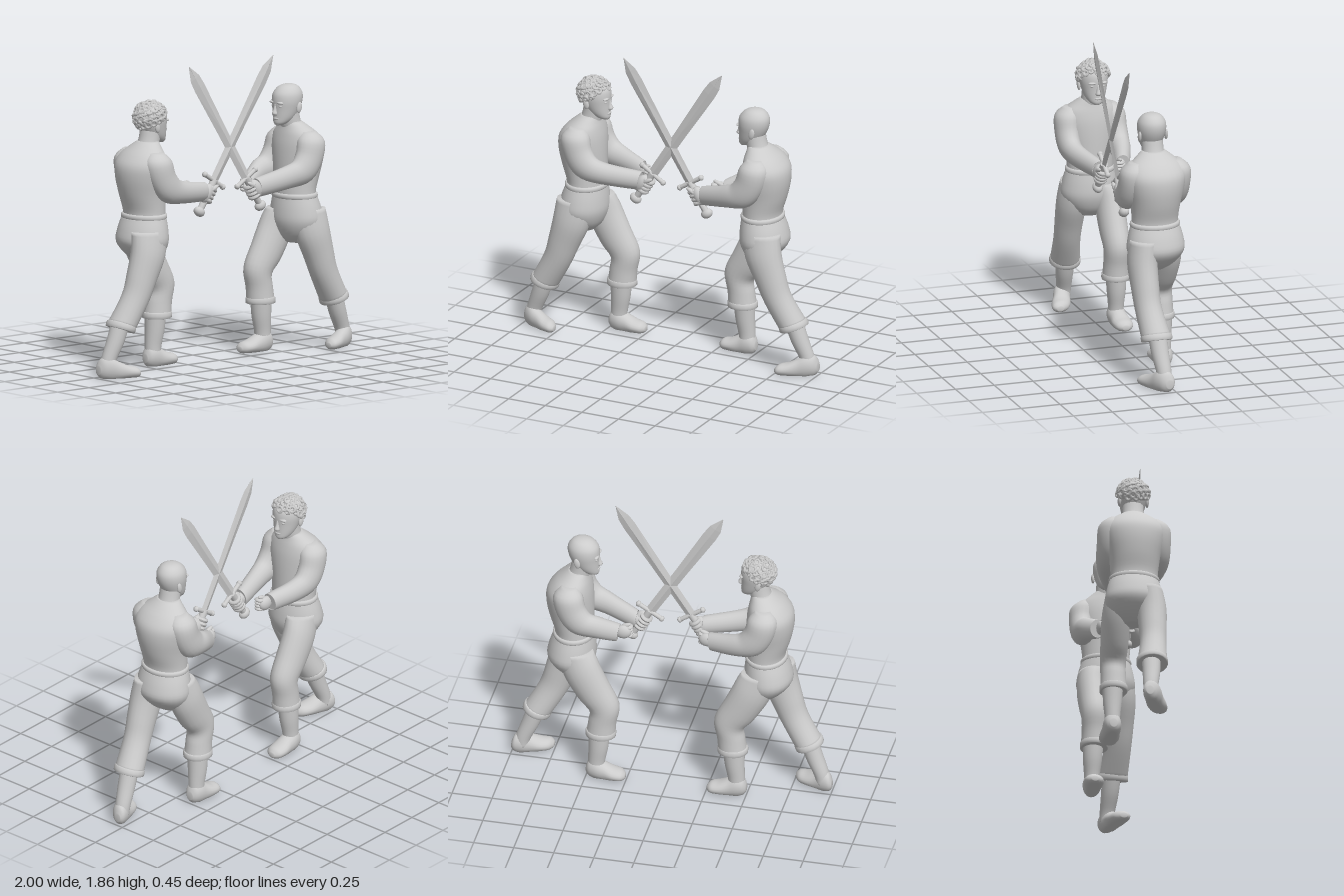
import * as THREE from 'three';

const material = new THREE.MeshStandardMaterial({ color: 0xcccccc });
const facetedMaterial = new THREE.MeshStandardMaterial({ color: 0xcccccc, flatShading: true });
const rad = THREE.MathUtils.degToRad;

// Closed skin over elliptic rings [x, y, z, radiusU, radiusZ, tilt of U in degrees]
function loft(rings, { seg = 20, sub = 4, floor = -1 } = {}) {
  const rows = [];
  const at = (i, k) => rings[Math.min(Math.max(i, 0), rings.length - 1)][k] ?? 0;
  for (let i = 0; i < rings.length - 1; i++) {
    for (let j = 0; j < sub; j++) {
      const t = j / sub;
      rows.push([0, 1, 2, 3, 4, 5].map((k) => {
        const [a, b, c, d] = [at(i - 1, k), at(i, k), at(i + 1, k), at(i + 2, k)];
        return b + 0.5 * t * (c - a + t * (2 * a - 5 * b + 4 * c - d + t * (3 * (b - c) + d - a)));
      }));
    }
  }
  rows.push([0, 1, 2, 3, 4, 5].map((k) => at(rings.length - 1, k)));
  const pos = [], index = [];
  for (const [x, y, z, ru, rz, tilt] of rows) {
    for (let j = 0; j < seg; j++) {
      const a = (j / seg) * Math.PI * 2, u = Math.cos(a) * ru;
      pos.push(x + u * Math.cos(rad(tilt)), Math.max(floor, y + u * Math.sin(rad(tilt))), z + Math.sin(a) * rz);
    }
  }
  const n = rows.length, start = n * seg, last = rows[n - 1];
  pos.push(rows[0][0], rows[0][1], rows[0][2], last[0], last[1], last[2]);
  for (let j = 0; j < seg; j++) {
    const k = (j + 1) % seg;
    for (let i = 0; i < n - 1; i++) {
      const a = i * seg + j, b = i * seg + k;
      index.push(a, a + seg, b, b, a + seg, b + seg);
    }
    index.push(start, j, k, start + 1, start - seg + k, start - seg + j);
  }
  // Turn the skin outwards if its signed volume is negative
  let volume = 0;
  const [p, q, r] = [0, 1, 2].map(() => new THREE.Vector3());
  for (let i = 0; i < index.length; i += 3) {
    p.fromArray(pos, index[i] * 3); q.fromArray(pos, index[i + 1] * 3); r.fromArray(pos, index[i + 2] * 3);
    volume += p.dot(q.cross(r));
  }
  if (volume < 0) index.reverse();
  const g = new THREE.BufferGeometry();
  g.setAttribute('position', new THREE.Float32BufferAttribute(pos, 3));
  g.setIndex(index);
  g.computeVertexNormals();
  return g;
}

const ball = (x, y, z, rx, ry, rz, tilt = 0) =>
  new THREE.SphereGeometry(1, 18, 12).scale(rx, ry, rz).rotateZ(rad(tilt)).translate(x, y, z);

// One swordsman facing +x; side = -1 mirrors him to face -x
function fighter(name, side, { wrist, pommel, tip, hair }) {
  const group = new THREE.Group();
  group.name = name;
  const add = (label, geo, mat = material) => {
    if (side < 0) {
      geo.scale(-1, 1, 1);
      geo.index.array.reverse();
      geo.computeVertexNormals();
    }
    const mesh = new THREE.Mesh(geo, mat);
    mesh.name = label;
    group.add(mesh);
  };

  // Torso, waistband and hips
  add('torso', loft([
    [-0.6, 0.94, 0, 0.118, 0.145], [-0.6, 1.0, 0, 0.12, 0.145], [-0.615, 1.1, 0, 0.136, 0.155],
    [-0.625, 1.2, 0, 0.145, 0.175], [-0.625, 1.28, 0, 0.14, 0.185], [-0.61, 1.34, 0, 0.115, 0.165],
    [-0.59, 1.385, 0, 0.085, 0.115], [-0.57, 1.42, 0, 0.06, 0.07]], { seg: 28 }));
  add('waistband', loft([
    [-0.6, 0.945, 0, 0.12, 0.148], [-0.6, 0.953, 0, 0.129, 0.155],
    [-0.6, 0.972, 0, 0.129, 0.155], [-0.6, 0.98, 0, 0.118, 0.145]], { seg: 28, sub: 2 }));
  add('hips', loft([
    [-0.6, 0.96, 0, 0.123, 0.15], [-0.61, 0.88, 0, 0.143, 0.172], [-0.615, 0.8, 0, 0.147, 0.178],
    [-0.6, 0.72, 0, 0.1, 0.13], [-0.59, 0.67, 0, 0.04, 0.06]], { seg: 28 }));

  // Legs: trouser, cuff, boot shaft and foot
  const leg = (label, trouser, shaft, heel, zHeel, zToe) => {
    add(label + 'Trouser', loft(trouser));
    const [x, y, z, ru, rz, tilt] = trouser[trouser.length - 1];
    const dx = -Math.sin(rad(tilt)), dy = Math.cos(rad(tilt));
    add(label + 'Cuff', loft([[-0.012, 0.9], [-0.01, 1.05], [0.022, 1.04], [0.028, 0.92]].map(
      ([d, k]) => [x + dx * d, y + dy * d, z, ru * k, rz * k, tilt]), { sub: 2 }));
    add(label + 'BootShaft', loft(shaft));
    add(label + 'Foot', loft([
      [0, 0.05, 0.025, 0.022], [0.02, 0.06, 0.06, 0.045], [0.06, 0.06, 0.075, 0.056], [0.11, 0.045, 0.062, 0.056],
      [0.17, 0.035, 0.042, 0.062], [0.22, 0.03, 0.034, 0.052], [0.245, 0.025, 0.015, 0.02]].map(
      ([d, h, ru2, w]) => [heel + d, h, zHeel + (zToe - zHeel) * d / 0.245, ru2, w, 90]), { floor: 0 }));
  };
  leg('rearLeg', [
    [-0.63, 0.88, 0.085, 0.125, 0.085, 0], [-0.655, 0.74, 0.1, 0.118, 0.09, -12], [-0.705, 0.6, 0.1, 0.1, 0.085, -18],
    [-0.755, 0.47, 0.095, 0.088, 0.082, -22], [-0.85, 0.305, 0.075, 0.086, 0.092, -20]],
  [[-0.845, 0.34, 0.07, 0.055, 0.058, -18], [-0.885, 0.22, 0.065, 0.054, 0.054, -15],
    [-0.93, 0.11, 0.055, 0.047, 0.046, -10], [-0.94, 0.05, 0.055, 0.045, 0.045, 0]], -1, 0.04, 0.135);
  leg('frontLeg', [
    [-0.58, 0.88, -0.085, 0.115, 0.085, 0], [-0.53, 0.75, -0.1, 0.118, 0.088, 25], [-0.455, 0.61, -0.1, 0.11, 0.086, 32],
    [-0.39, 0.5, -0.1, 0.096, 0.08, 15], [-0.402, 0.4, -0.1, 0.087, 0.078, 0], [-0.412, 0.31, -0.1, 0.09, 0.082, 0]],
  [[-0.42, 0.34, -0.105, 0.068, 0.064], [-0.425, 0.22, -0.108, 0.062, 0.058],
    [-0.436, 0.12, -0.11, 0.053, 0.048], [-0.44, 0.05, -0.11, 0.05, 0.048]], -0.5, -0.11, -0.115);

  // Sleeved arms reaching forward
  const arm = (label, s, [x, y, z]) => add(label, loft([
    [-0.605, 1.365, 0.12 * s, 0.045, 0.045, 0], [-0.61, 1.31, 0.14 * s, 0.09, 0.08, 5],
    [-0.585, 1.21, 0.152 * s, 0.092, 0.075, 20], [-0.525, 1.13, 0.155 * s, 0.088, 0.068, 45],
    [-0.42, 1.1, 0.14 * s, 0.07, 0.06, 75], [x - 0.01, y, z, 0.06, 0.05, 82], [x, y, z, 0.054, 0.045, 82]]));
  arm('nearArm', 1, [wrist[0], wrist[1], 0.085]);
  arm('farArm', -1, [wrist[0] - 0.07, wrist[1], -0.095]);

  // Far hand: palm with four curled fingers and a thumb
  const [hx, hy] = [wrist[0] - 0.04, wrist[1] - 0.005];
  add('farPalm', ball(hx - 0.005, hy, -0.075, 0.052, 0.045, 0.03));
  for (let i = 0; i < 4; i++) add('farFinger', ball(hx + 0.03, hy + 0.03 - i * 0.02, -0.055, 0.024, 0.012, 0.03));
  add('farThumb', ball(hx + 0.01, hy + 0.04, -0.06, 0.035, 0.013, 0.014, 20));

  // Sword: built upright from the pommel, then leaned to the tip
  const lx = tip[0] - pommel[0], ly = tip[1] - pommel[1], length = Math.hypot(lx, ly);
  const lean = new THREE.Matrix4().makeRotationZ(-Math.atan2(lx, ly)).setPosition(pommel[0], pommel[1], 0.08);
  const addSword = (label, geo, mat) => add(label, geo.applyMatrix4(lean), mat);
  addSword('blade', loft([
    [0, 0.23, 0, 0.031, 0.013], [0, 0.6, 0, 0.035, 0.012], [0, length - 0.16, 0, 0.043, 0.01],
    [0, length - 0.09, 0, 0.038, 0.008], [0, length, 0, 0.002, 0.002]], { seg: 4, sub: 1 }), facetedMaterial);
  addSword('guard', new THREE.CylinderGeometry(0.014, 0.014, 0.17, 14).rotateZ(Math.PI / 2).translate(0, 0.235, 0));
  for (const s of [-1, 1]) addSword('guardEnd', ball(s * 0.085, 0.235, 0, 0.016, 0.018, 0.018));
  addSword('grip', new THREE.CylinderGeometry(0.023, 0.02, 0.22, 14).translate(0, 0.13, 0));
  addSword('pommel', ball(0, 0.022, 0, 0.039, 0.03, 0.032));

  // Near hand wrapped round the grip
  addSword('nearPalm', ball(-0.02, 0.14, 0.012, 0.04, 0.062, 0.034));
  for (let i = 0; i < 4; i++) {
    addSword('nearFinger', new THREE.TorusGeometry(0.029, 0.014, 8, 18)
      .rotateX(Math.PI / 2).translate(0.004, 0.105 + i * 0.026, 0));
  }
  addSword('nearThumb', ball(0.005, 0.19, 0.03, 0.014, 0.036, 0.014, -30));
  add('nearWrist', ball(wrist[0] + 0.01, wrist[1] - 0.01, 0.083, 0.05, 0.042, 0.034));

  // Neck, head and face
  add('neck', loft([[-0.6, 1.34, 0, 0.08, 0.085], [-0.565, 1.41, 0, 0.067, 0.068], [-0.545, 1.5, 0, 0.065, 0.066]]));
  add('head', loft([
    [-0.475, 1.403, 0, 0.022, 0.022], [-0.492, 1.418, 0, 0.048, 0.044], [-0.515, 1.45, 0, 0.071, 0.064],
    [-0.532, 1.5, 0, 0.088, 0.079], [-0.54, 1.55, 0, 0.098, 0.088], [-0.544, 1.595, 0, 0.094, 0.084],
    [-0.548, 1.63, 0, 0.068, 0.062], [-0.55, 1.646, 0, 0.036, 0.033], [-0.55, 1.65, 0, 0.006, 0.006]], { seg: 28 }));
  add('nose', loft([[-0.452, 1.535, 0, 0.01, 0.008], [-0.446, 1.5, 0, 0.014, 0.011],
    [-0.441, 1.475, 0, 0.018, 0.018], [-0.45, 1.463, 0, 0.01, 0.012]], { seg: 12 }));
  add('lips', ball(-0.452, 1.443, 0, 0.012, 0.01, 0.025));
  add('chin', ball(-0.464, 1.415, 0, 0.018, 0.016, 0.026));
  for (const s of [-1, 1]) {
    add('brow', ball(-0.456, 1.542, s * 0.032, 0.016, 0.009, 0.028));
    add('eye', ball(-0.459, 1.521, s * 0.032, 0.011, 0.008, 0.014));
    add('ear', ball(-0.565, 1.51, s * 0.085, 0.019, 0.034, 0.011, 12));
  }

  // Curly hair: a cap with ringlets spread over it
  if (hair) {
    add('hairCap', ball(-0.56, 1.572, 0, 0.1, 0.086, 0.096, 20));
    const out = new THREE.Vector3(), turn = new THREE.Quaternion(), zAxis = new THREE.Vector3(0, 0, 1);
    for (let i = 0; i < 130; i++) {
      const y = 1 - (2 * i + 1) / 130, r = Math.sqrt(1 - y * y), a = i * 2.39996;
      out.set(Math.cos(a) * r, y, Math.sin(a) * r);
      if (y < -0.2 + 0.65 * out.x) continue;
      turn.setFromUnitVectors(zAxis, out);
      add('curl', new THREE.TorusGeometry(0.014 + 0.004 * Math.sin(i * 1.7), 0.009, 6, 12)
        .rotateX(0.5 * Math.sin(i * 2.3)).applyQuaternion(turn)
        .translate(-0.55 + out.x * 0.103, 1.563 + y * 0.092, out.z * 0.096));
    }
  }
  return group;
}

export function createModel() {
  const model = new THREE.Group();
  model.name = 'duel';
  model.add(
    fighter('curlyFighter', 1, { wrist: [-0.2, 1.075], pommel: [-0.24, 0.935], tip: [0.36, 1.855], hair: true }),
    fighter('baldFighter', -1, { wrist: [-0.235, 1.055], pommel: [-0.27, 0.92], tip: [0.31, 1.855], hair: false }));
  return model;
}
